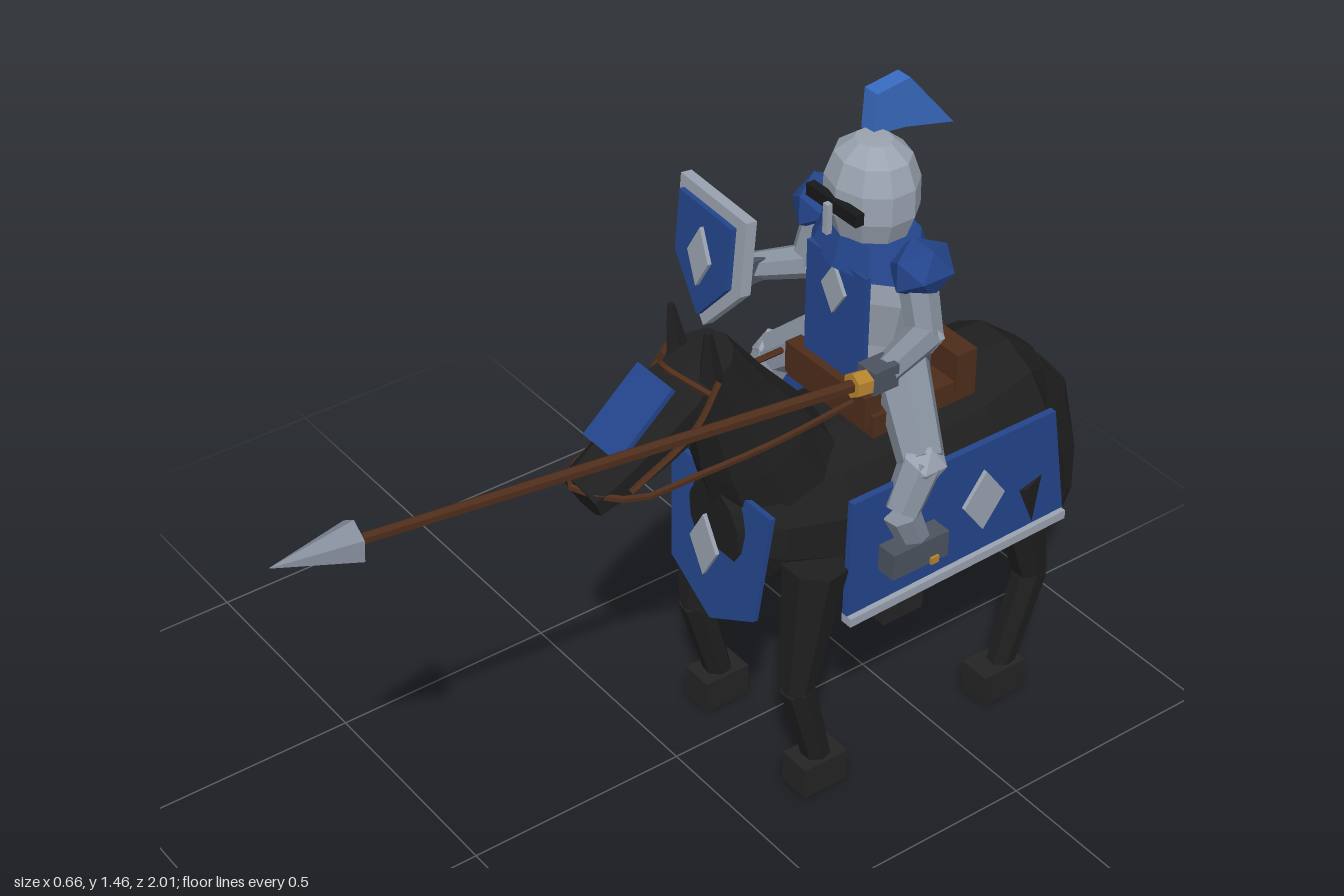
import * as THREE from 'three';

const mat = (name, color) => { const m = new THREE.MeshStandardMaterial({ color }); m.name = name; return m; };
const M = {
  coat: mat('black coat', 0x1f1f1f), hoof: mat('hoof', 0x242424), cloth: mat('blue cloth', 0x24458c),
  plume: mat('bright blue', 0x386ac0), silver: mat('silver', 0x9aa3b0), steel: mat('steel', 0x848d9b),
  dark: mat('dark steel', 0x4c535f), leather: mat('leather', 0x4e2d1b), gold: mat('gold', 0xb5832f),
  slit: mat('visor black', 0x17181a),
};
const V = (x, y, z) => new THREE.Vector3(x, y, z);

// Faceted mesh
function add(parent, name, geo, material, x = 0, y = 0, z = 0) {
  const g = geo.index ? geo.toNonIndexed() : geo;
  g.computeVertexNormals();
  const m = new THREE.Mesh(g, material);
  m.name = name;
  m.position.set(x, y, z);
  parent.add(m);
  return m;
}
const box = (w, h, d) => new THREE.BoxGeometry(w, h, d);

// Skin over elliptical rings in the yz plane: [z, y, half width, half height]
function loft(rows, sides = 10) {
  const pos = [];
  const rings = rows.map(([z, y, rx, ry], i) => {
    const a = rows[Math.max(i - 1, 0)], b = rows[Math.min(i + 1, rows.length - 1)];
    const l = Math.hypot(b[0] - a[0], b[1] - a[1]), tz = (b[0] - a[0]) / l, ty = (b[1] - a[1]) / l;
    return Array.from({ length: sides }, (_, j) => {
      const t = (j + 0.5) / sides * Math.PI * 2, n = Math.sin(t) * ry;
      return [Math.cos(t) * rx, y + n * tz, z - n * ty];
    });
  });
  const tri = (a, b, c) => pos.push(...a, ...b, ...c);
  const mid = (i) => [0, rows[i][1], rows[i][0]], last = rows.length - 1;
  for (let j = 0; j < sides; j++) {
    const k = (j + 1) % sides;
    for (let i = 0; i < last; i++) {
      tri(rings[i][j], rings[i][k], rings[i + 1][k]);
      tri(rings[i][j], rings[i + 1][k], rings[i + 1][j]);
    }
    tri(mid(0), rings[0][k], rings[0][j]);
    tri(mid(last), rings[last][j], rings[last][k]);
  }
  return new THREE.BufferGeometry().setAttribute('position', new THREE.Float32BufferAttribute(pos, 3));
}

// Flat plate from outline points, centred on its thickness
function plate(points, depth) {
  const shape = new THREE.Shape(points.map(([x, y]) => new THREE.Vector2(x, y)));
  return new THREE.ExtrudeGeometry(shape, { depth, bevelEnabled: false }).translate(0, 0, -depth / 2);
}
const sidePlate = (points, depth) => plate(points, depth).rotateY(-Math.PI / 2);
const diamond = (w, h) => [[-w, 0], [0, -h], [w, 0], [0, h]];

// Tapered rod between two points
function rod(parent, name, a, b, ra, rb, material, sides = 7) {
  const d = b.clone().sub(a);
  const m = add(parent, name, new THREE.CylinderGeometry(rb, ra, d.length(), sides), material);
  m.position.copy(a).addScaledVector(d, 0.5);
  m.quaternion.setFromUnitVectors(V(0, 1, 0), d.normalize());
  return m;
}
const tube = (pts, r) => new THREE.TubeGeometry(new THREE.CatmullRomCurve3(pts), 24, r, 5);

function buildHorse() {
  const g = new THREE.Group();
  g.name = 'horse';
  add(g, 'body', loft([[-0.83, 0.63, 0.1, 0.11], [-0.78, 0.64, 0.16, 0.165], [-0.64, 0.61, 0.195, 0.19],
    [-0.45, 0.6, 0.2, 0.185], [-0.25, 0.615, 0.19, 0.175], [-0.12, 0.63, 0.15, 0.145], [-0.05, 0.625, 0.08, 0.1]], 12), M.coat);
  add(g, 'neck', loft([[-0.2, 0.68, 0.14, 0.15], [-0.135, 0.81, 0.12, 0.125], [-0.08, 0.92, 0.09, 0.09], [-0.02, 1.04, 0.07, 0.06]]), M.coat);
  add(g, 'head', loft([[-0.04, 1.02, 0.06, 0.06], [0.03, 0.965, 0.082, 0.09], [0.12, 0.905, 0.074, 0.075],
    [0.21, 0.857, 0.066, 0.056], [0.262, 0.835, 0.06, 0.046]], 8), M.coat);
  add(g, 'tail', loft([[-0.78, 0.68, 0.045, 0.045], [-0.85, 0.655, 0.05, 0.055], [-0.915, 0.57, 0.052, 0.06],
    [-0.965, 0.43, 0.048, 0.04], [-0.988, 0.31, 0.035, 0.018], [-0.985, 0.2, 0.004, 0.004]], 7), M.coat);

  for (const s of [-1, 1]) {
    // Legs: shoulder or haunch, knee, fetlock
    const legs = { front: [[0.58, -0.17], [0.28, -0.135], [0.06, -0.195]], hind: [[0.58, -0.68], [0.29, -0.755], [0.06, -0.69]] };
    for (const [n, [a, b, c]] of Object.entries(legs)) {
      const top = V(s * 0.17, ...a), knee = V(s * 0.17, ...b), foot = V(s * 0.167, ...c);
      rod(g, n + 'UpperLeg', top, knee, 0.068, 0.036, M.coat);
      rod(g, n + 'LowerLeg', knee, foot, 0.037, 0.03, M.coat);
      add(g, n + 'Knee', new THREE.IcosahedronGeometry(0.036, 0), M.coat, ...knee);
      add(g, n + 'Hoof', box(0.075, 0.075, 0.11), M.hoof, s * 0.167, 0.0375, n === 'front' ? -0.19 : -0.675);
    }
    const ear = add(g, 'ear', new THREE.CylinderGeometry(0.008, 0.027, 0.12, 5), M.coat, s * 0.055, 1.075, 0.005);
    ear.rotation.set(0.1, 0, -s * 0.06);
    add(g, 'cheekStrap', tube([V(s * 0.08, 1.03, 0), V(s * 0.086, 0.95, 0.06), V(s * 0.075, 0.86, 0.2)], 0.007), M.leather);

    // Side cloth with hem and emblem
    add(g, 'sideCloth', sidePlate([[-0.735, 0.735], [-0.78, 0.46], [-0.21, 0.45], [-0.215, 0.735]], 0.015), M.cloth, s * 0.218);
    add(g, 'clothHem', sidePlate([[-0.775, 0.475], [-0.775, 0.455], [-0.21, 0.44], [-0.21, 0.46]], 0.028), M.silver, s * 0.224);
    add(g, 'sideEmblem', sidePlate(diamond(0.053, 0.072), 0.009), M.silver, s * 0.231, 0.6, -0.55);
  }

  // Chest cloth
  const chest = add(g, 'chestCloth', plate([[-0.16, 0.16], [-0.135, -0.1], [0, -0.175], [0.135, -0.1], [0.16, 0.16]], 0.012), M.cloth, 0, 0.565, -0.06);
  chest.rotation.x = -0.07;
  add(g, 'chestEmblem', plate(diamond(0.043, 0.075), 0.009), M.silver, 0, 0.585, -0.028);

  // Face plate and bridle
  add(g, 'facePlate', box(0.11, 0.17, 0.012), M.cloth, 0, 0.978, 0.15).rotation.x = -0.85;
  add(g, 'browBand', tube([V(-0.08, 1.01, 0.02), V(0, 1.045, 0.065), V(0.08, 1.01, 0.02)], 0.007), M.leather);
  add(g, 'reins', tube([V(-0.11, 0.875, -0.3), V(-0.115, 0.865, -0.1), V(-0.095, 0.85, 0.08), V(-0.085, 0.85, 0.2), V(0, 0.865, 0.285),
    V(0.085, 0.85, 0.2), V(0.095, 0.85, 0.08), V(0.115, 0.865, -0.1), V(0.11, 0.875, -0.3)], 0.007), M.leather);

  // Saddle
  add(g, 'saddleSeat', box(0.27, 0.05, 0.26), M.leather, 0, 0.812, -0.465);
  add(g, 'cantle', box(0.28, 0.1, 0.05), M.leather, 0, 0.85, -0.565);
  add(g, 'pommel', box(0.25, 0.07, 0.04), M.leather, 0, 0.845, -0.34);
  return g;
}

function buildKnight() {
  const g = new THREE.Group();
  g.name = 'knight';
  const lathe = (pts, n, zs) => new THREE.LatheGeometry(pts.map(([r, y]) => new THREE.Vector2(r, y)), n).scale(1, 1, zs);

  // Torso, mantle and tabard
  add(g, 'torso', lathe([[0, 0.88], [0.095, 0.88], [0.1, 0.95], [0.13, 1.06], [0.125, 1.14], [0, 1.16]], 10, 0.62), M.silver, 0, 0, -0.425);
  add(g, 'hips', box(0.2, 0.09, 0.15), M.dark, 0, 0.875, -0.43);
  add(g, 'mantle', new THREE.CylinderGeometry(0.12, 0.15, 0.065, 10).scale(1, 1, 0.65), M.cloth, 0, 1.15, -0.425);
  add(g, 'tabard', box(0.18, 0.25, 0.012), M.cloth, 0, 1.005, -0.345);
  add(g, 'tabardEmblem', plate(diamond(0.035, 0.055), 0.008), M.silver, 0, 1.065, -0.335);

  // Helmet
  add(g, 'helmet', lathe([[0, 1.17], [0.08, 1.175], [0.1, 1.23], [0.099, 1.29], [0.08, 1.34], [0.04, 1.37], [0, 1.372]], 10, 0.9), M.silver, 0, 0, -0.42);
  add(g, 'visorSlit', box(0.15, 0.026, 0.02), M.slit, 0, 1.257, -0.33);
  add(g, 'noseGuard', box(0.014, 0.065, 0.012), M.silver, 0, 1.232, -0.313);
  add(g, 'plume', sidePlate([[-0.43, 1.365], [-0.435, 1.45], [-0.515, 1.46], [-0.63, 1.325], [-0.51, 1.355]], 0.037), M.plume, -0.032);

  for (const s of [-1, 1]) {
    add(g, 'pauldron', new THREE.IcosahedronGeometry(0.068, 0).scale(0.9, 0.9, 1.05), M.cloth, s * 0.148, 1.155, -0.425);

    // Leg armour and boot
    const hip = V(s * 0.085, 0.89, -0.44), knee = V(s * 0.23, 0.77, -0.38);
    const shin = V(s * 0.24, 0.68, -0.325), ankle = V(s * 0.237, 0.58, -0.37);
    rod(g, 'thigh', hip, knee, 0.06, 0.048, M.steel);
    rod(g, 'shin', knee, shin, 0.045, 0.038, M.steel);
    rod(g, 'greave', shin, ankle, 0.038, 0.032, M.steel);
    add(g, 'kneeGuard', new THREE.IcosahedronGeometry(0.052, 0), M.silver, ...knee);
    add(g, 'boot', box(0.075, 0.06, 0.14), M.dark, s * 0.235, 0.575, -0.355);
    add(g, 'spur', box(0.012, 0.016, 0.02), M.gold, s * 0.272, 0.552, -0.388);
  }

  // Arms: shoulder, elbow, hand
  const arms = [[V(-0.14, 1.14, -0.42), V(-0.15, 1.03, -0.39), V(-0.2, 1.03, -0.29)],
    [V(0.14, 1.14, -0.42), V(0.185, 1.03, -0.41), V(0.222, 1.018, -0.28)]];
  for (const [a, b, c] of arms) {
    rod(g, 'upperArm', a, b, 0.04, 0.036, M.steel);
    add(g, 'elbow', new THREE.IcosahedronGeometry(0.04, 0), M.silver, ...b);
    rod(g, 'forearm', b, c, 0.036, 0.029, M.steel);
    add(g, 'gauntlet', box(0.05, 0.05, 0.06), M.dark, c.x, c.y, c.z + 0.015);
  }

  // Lance
  const butt = V(0.227, 1.012, -0.28), neck = V(0.163, 1.098, 0.84), tip = V(0.155, 1.11, 1);
  rod(g, 'lanceShaft', butt, neck, 0.014, 0.011, M.leather, 6);
  rod(g, 'lanceHead', neck, tip, 0.043, 0.001, M.steel, 6);
  rod(g, 'lanceGuard', V(0.225, 1.016, -0.235), V(0.223, 1.019, -0.2), 0.026, 0.026, M.gold, 6);

  // Shield
  const shield = new THREE.Group();
  shield.name = 'shield';
  const crest = [[-0.115, 0.135], [-0.115, -0.03], [0, -0.155], [0.115, -0.03], [0.115, 0.135]];
  add(shield, 'shieldRim', plate(crest, 0.025), M.silver);
  add(shield, 'shieldFace', plate(crest.map(([x, y]) => [x * 0.8, y * 0.83]), 0.012), M.cloth, 0, 0.003, 0.024);
  add(shield, 'shieldEmblem', plate(diamond(0.037, 0.066), 0.009), M.silver, 0, 0.01, 0.035);
  shield.position.set(-0.27, 1.03, -0.25);
  shield.rotation.set(-0.08, -0.06, 0);
  g.add(shield);
  return g;
}

export function createModel() {
  const model = new THREE.Group();
  model.name = 'mountedKnight';
  for (const part of [buildHorse(), buildKnight()]) {
    part.position.x = 0.055;
    model.add(part);
  }
  return model;
}
